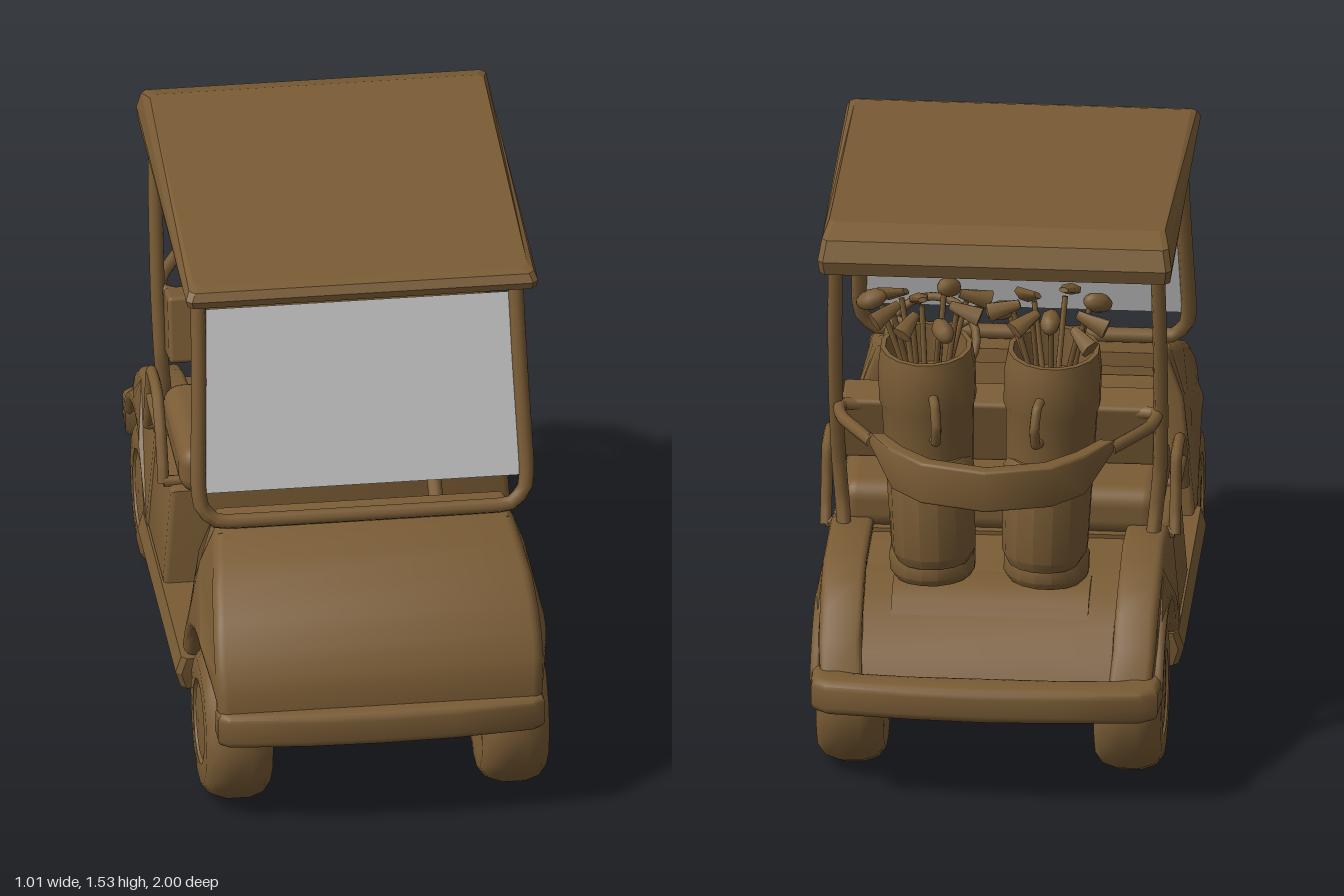
import * as THREE from 'three';
import { toCreasedNormals } from 'three/addons/utils/BufferGeometryUtils.js';
import { RoundedBoxGeometry } from 'three/addons/geometries/RoundedBoxGeometry.js';

const paint = new THREE.MeshStandardMaterial({ color: 0x7a5c35 });
const glass = new THREE.MeshStandardMaterial({ color: 0xcccccc, side: THREE.DoubleSide });
const V = (x, y, z) => new THREE.Vector3(x, y, z);
const clamp = THREE.MathUtils.clamp;

export function createModel() {
  const cart = new THREE.Group();
  cart.name = 'golfCart';

  const add = (name, geo, pos = [0, 0, 0], parent = cart, mat = paint) => {
    const m = new THREE.Mesh(geo, mat);
    m.name = name;
    m.position.set(...pos);
    parent.add(m);
    return m;
  };
  const tube = (name, pts, r, parent = cart, tension = 0.25) => {
    const curve = new THREE.CatmullRomCurve3(pts.map(p => V(...p)), false, 'catmullrom', tension);
    return add(name, new THREE.TubeGeometry(curve, pts.length * 6, r, 8), [0, 0, 0], parent);
  };
  const rod = (name, a, b, r, parent = cart) => {
    const d = V(...b).sub(V(...a));
    const m = add(name, new THREE.CylinderGeometry(r, r, d.length(), 8), V(...a).addScaledVector(d, 0.5).toArray(), parent);
    m.quaternion.setFromUnitVectors(V(0, 1, 0), d.normalize());
    return m;
  };
  const bend = (geo, rule) => {
    const p = geo.attributes.position;
    for (let i = 0; i < p.count; i++) {
      const v = rule(V(p.getX(i), p.getY(i), p.getZ(i)));
      p.setXYZ(i, v.x, v.y, v.z);
    }
    return toCreasedNormals(geo, 0.65);
  };
  const extrude = (pts, depth, bevel) => new THREE.ExtrudeGeometry(
    new THREE.Shape(pts.map(p => new THREE.Vector2(...p))),
    { depth: depth - 2 * bevel, bevelEnabled: bevel > 0, bevelSize: bevel, bevelThickness: bevel, bevelOffset: -bevel, bevelSegments: 3 });
  // Side profile of (z, y) points spread across x, centred on cx
  const slab = (pts, width, cx, bevel, rule = v => v) => {
    const g = extrude(pts, width, bevel).translate(0, 0, bevel - width / 2);
    return bend(g.rotateY(-Math.PI / 2).translate(cx, 0, 0), rule);
  };
  // Plan band from mirrored (x, z) points, between two heights
  const band = (outer, inner, y0, y1, bevel, rule = v => v) => {
    const both = h => [...h, ...h.slice(0, -1).reverse().map(([x, z]) => [-x, z])];
    const g = extrude([...both(outer), ...both(inner).reverse()], y1 - y0, bevel);
    return bend(g.rotateX(Math.PI / 2).translate(0, y1 - bevel, 0), rule);
  };
  // Stacked chamfered rectangles: [halfWidth, zFront, zBack, yFront, yBack]
  const stack = (rings, c) => {
    const pos = [], idx = [], n = 8;
    for (const [h, f, b, yf, yb] of rings) {
      const ring = [[h, f - c], [h, b + c], [h - c, b], [c - h, b], [-h, b + c], [-h, f - c], [c - h, f], [h - c, f]];
      for (const [x, z] of ring) pos.push(x, yf + (yb - yf) * (f - z) / (f - b), z);
    }
    for (let i = 0; i < rings.length - 1; i++) for (let j = 0; j < n; j++) {
      const a = i * n + j, b = i * n + (j + 1) % n;
      idx.push(a, b, a + n, b, b + n, a + n);
    }
    const top = (rings.length - 1) * n;
    for (let j = 1; j < n - 1; j++) idx.push(0, j + 1, j, top, top + j, top + j + 1);
    const g = new THREE.BufferGeometry();
    g.setAttribute('position', new THREE.Float32BufferAttribute(pos, 3));
    g.setIndex(idx);
    return toCreasedNormals(g, 0.15);
  };
  // Wheel arch points by angle
  const arch = (cz, a0, a1) => Array.from({ length: 11 }, (_, i) => {
    const a = a0 + (a1 - a0) * i / 10;
    return [cz + 0.25 * Math.cos(a), 0.22 + 0.25 * Math.sin(a)];
  });
  const FZ = 0.7, RZ = -0.62;

  // Front cowl, open at the back with a lip and cheeks around the dash
  const cowlTaper = v => {
    v.x *= (1 - 0.17 * clamp((v.y - 0.45) / 0.295, 0, 1) ** 1.5) * (1 - 0.09 * clamp((v.z - 0.72) / 0.23, 0, 1) ** 1.5);
    return v;
  };
  add('cowl', slab([[0.95, 0.35], [0.945, 0.42], [0.925, 0.475], [0.89, 0.53], [0.84, 0.592], [0.76, 0.655], [0.67, 0.698], [0.56, 0.73], [0.52, 0.735],
    [0.5, 0.62], [0.41, 0.29], ...arch(FZ, Math.PI - 0.3, 0.7), [0.89, 0.35]], 0.965, 0, 0.024, cowlTaper));
  add('cowlLip', slab([[0.57, 0.727], [0.46, 0.745], [0.455, 0.705], [0.56, 0.68]], 0.95, 0, 0.01, cowlTaper));
  for (const s of [-1, 1]) add('cowlCheek', slab([[0.57, 0.725], [0.46, 0.745], [0.45, 0.62], [0.4, 0.29], [0.46, 0.3], [0.52, 0.55]], 0.06, s * 0.447, 0.012, cowlTaper));
  add('gloveBox', slab([[0.5, 0.66], [0.37, 0.665], [0.32, 0.37], [0.43, 0.32]], 0.3, -0.22, 0.012));
  for (const x of [0.14, 0.27]) add('pedal', new RoundedBoxGeometry(0.07, 0.09, 0.02, 2, 0.008), [x, 0.35, 0.38]).rotation.x = -0.5;

  // Floor pan with recessed underside
  add('floorPan', stack([[0.44, 0.43, -0.35, 0.265, 0.265], [0.47, 0.45, -0.37, 0.19, 0.19], [0.49, 0.46, -0.38, 0.19, 0.19],
    [0.505, 0.47, -0.385, 0.24, 0.24], [0.49, 0.475, -0.39, 0.29, 0.29]], 0.015));

  // Seat pod, sunken bag deck and raised fenders
  const rearTaper = v => {
    v.x *= (1 - 0.08 * clamp((-0.65 - v.z) / 0.25, 0, 1)) * (1 - 0.06 * clamp((v.y - 0.45) / 0.15, 0, 1));
    return v;
  };
  const rearArch = arch(RZ, Math.PI - 0.56, 0.285);
  add('seatPod', slab([[0.04, 0.28], [0.035, 0.57], [-0.38, 0.575], [-0.37, 0.28]], 0.97, 0, 0.015, rearTaper));
  add('bagDeck', slab([[-0.3, 0.28], [-0.3, 0.565], [-0.5, 0.562], [-0.61, 0.55], [-0.7, 0.522], [-0.78, 0.475], [-0.85, 0.41], [-0.9, 0.33],
    ...rearArch, [-0.37, 0.28]], 0.78, 0, 0, rearTaper));
  for (const s of [-1, 1]) add('rearFender', slab([[-0.28, 0.28], [-0.28, 0.575], [-0.36, 0.6], [-0.5, 0.608], [-0.61, 0.595], [-0.7, 0.563],
    [-0.78, 0.512], [-0.85, 0.44], [-0.91, 0.33], ...rearArch, [-0.37, 0.28]], 0.125, s * 0.4275, 0.02, rearTaper));
  add('seatFrontRail', new RoundedBoxGeometry(0.6, 0.035, 0.05, 2, 0.012), [0, 0.365, 0.065]);

  // Bumpers
  add('frontBumper', band([[0.45, 0.89], [0.45, 0.95], [0.42, 0.972], [0.2, 0.992], [0, 0.997]], [[0.38, 0.89], [0.37, 0.9], [0.3, 0.91], [0.2, 0.918], [0, 0.92]], 0.27, 0.37, 0.022));
  add('rearBumper', band([[0.48, -0.83], [0.475, -0.94], [0.43, -0.972], [0.2, -0.992], [0, -1]], [[0.4, -0.83], [0.4, -0.86], [0.36, -0.88], [0.2, -0.89], [0, -0.89]], 0.27, 0.37, 0.025));

  // Wheels, rear arch lips and the rounded belly between each pair
  const tyre = [[0, -0.08], [0.13, -0.09], [0.175, -0.092], [0.205, -0.07], [0.219, -0.03], [0.219, 0.03], [0.205, 0.07], [0.175, 0.092], [0.12, 0.092], [0.115, 0.082]];
  const hub = [[0.115, 0.082], [0.1, 0.088], [0, 0.092]];
  const lathe = (pts, n) => new THREE.LatheGeometry(pts.map(p => new THREE.Vector2(...p)), n);
  for (const [end, z] of [['front', FZ], ['rear', RZ]]) {
    for (const s of [-1, 1]) {
      const wheel = new THREE.Group();
      wheel.name = end + 'Wheel';
      wheel.position.set(s * 0.38, 0.218, z);
      wheel.rotation.z = -s * Math.PI / 2;
      cart.add(wheel);
      add('tyre', toCreasedNormals(lathe(tyre, 14), 0.9), [0, 0, 0], wheel);
      add('hub', lathe(hub, 14), [0, 0, 0], wheel);
      if (end === 'rear') add('rearArchLip', new THREE.TorusGeometry(0.262, 0.018, 6, 16, Math.PI - 0.85).rotateZ(0.425).rotateY(-Math.PI / 2), [s * 0.468, 0.22, z]);
    }
    add(end + 'Belly', new THREE.CylinderGeometry(0.18, 0.18, 0.54, 20).rotateZ(Math.PI / 2), [0, 0.375, z]);
  }

  // Seat, backrest and armrests
  add('seatCushion', new RoundedBoxGeometry(0.88, 0.14, 0.43, 3, 0.05), [0, 0.63, -0.155]);
  add('backrest', new RoundedBoxGeometry(0.86, 0.19, 0.11, 2, 0.012), [0, 0.884, -0.338]).rotation.x = -0.21;
  for (const s of [-1, 1]) {
    const x = s * 0.478;
    const arm = [[0.57, -0.02], [0.61, -0.035], [0.69, -0.08], [0.765, -0.145], [0.782, -0.2], [0.775, -0.285], [0.7, -0.305], [0.62, -0.33], [0.57, -0.355]];
    tube('armrest', arm.map(([y, z]) => [x, y, z]), 0.016);
    rod('armrestBrace', [x, 0.68, -0.08], [x, 0.69, -0.3], 0.014);
    for (const z of [-0.02, -0.35]) rod('armrestFoot', [s * 0.4, 0.575, z], [x, 0.575, z], 0.016);
  }

  // Steering
  const axis = V(0, 0.26, -0.34).normalize();
  rod('steeringColumn', [0.22, 0.604, 0.52], [0.22, 0.915, 0.11], 0.02);
  rod('steeringBoss', [0.22, 0.88, 0.16], [0.22, 0.93, 0.095], 0.035);
  const steering = new THREE.Group();
  steering.name = 'steeringWheel';
  steering.position.set(0.22, 0.93, 0.095);
  steering.quaternion.setFromUnitVectors(V(0, 0, 1), axis);
  cart.add(steering);
  add('rim', new THREE.TorusGeometry(0.122, 0.012, 8, 24), [0, 0, 0], steering);
  for (let i = 0; i < 3; i++) {
    const a = Math.PI / 2 + i * Math.PI * 2 / 3;
    rod('spoke', [0, 0, 0], [0.12 * Math.cos(a), 0.12 * Math.sin(a), 0], 0.01, steering);
  }

  // Roof shell, its ceiling following the sloping top
  add('roof', stack([[0.455, 0.5, -0.49, 1.448, 1.515], [0.475, 0.525, -0.555, 1.41, 1.41], [0.48, 0.535, -0.565, 1.41, 1.41],
    [0.485, 0.54, -0.575, 1.43, 1.45], [0.475, 0.525, -0.55, 1.452, 1.505], [0.46, 0.5, -0.475, 1.46, 1.53]], 0.015));

  // Windscreen frame: one hoop up both sides and across the cowl
  const slope = y => 0.56 - (y - 0.745) * 0.244;
  const half = [[0.435, 1.44], [0.442, 1.15], [0.452, 0.86], [0.445, 0.8], [0.415, 0.765], [0.36, 0.755]];
  const hoop = [...half, ...half.slice().reverse().map(([x, y]) => [-x, y])];
  tube('windscreenFrame', hoop.map(([x, y]) => [x, y, slope(y)]), 0.021, cart, 0.2);
  const pane = new THREE.PlaneGeometry(0.87, 0.505).translate(0, 1.088, 0);
  add('windscreen', bend(pane, v => V(v.x * (1.015 - (v.y - 0.835) * 0.07), v.y, slope(v.y))), [0, 0, 0], cart, glass);

  // Rear posts and bag rack
  for (const s of [-1, 1]) {
    tube('rearPost', [[0.42, 0.56, -0.42], [0.43, 0.66, -0.385], [0.44, 0.78, -0.38], [0.445, 0.95, -0.41], [0.445, 1.2, -0.455], [0.44, 1.48, -0.495]].map(([x, y, z]) => [s * x, y, z]), 0.02);
    tube('rackArm', [[0.3, 0.94, -0.37], [0.43, 0.955, -0.41], [0.42, 0.955, -0.5], [0.325, 0.965, -0.68]].map(([x, y, z]) => [s * x, y, z]), 0.018);
  }
  add('rackStrap', band([[0.335, -0.67], [0.265, -0.785], [0.18, -0.87], [0, -0.92]], [[0.295, -0.67], [0.235, -0.755], [0.155, -0.83], [0, -0.875]],
    0.87, 0.99, 0.008, v => V(v.x, 0.99 - (0.99 - v.y) * clamp(0.3 + (-0.67 - v.z) * 6, 0.3, 1), v.z)));

  // Golf bags with clubs
  let seed = 7;
  const rnd = () => (seed = (seed * 16807) % 2147483647) / 2147483647;
  const bagWall = [[0, 0], [0.105, 0], [0.118, 0.02], [0.118, 0.07], [0.112, 0.08], [0.12, 0.3], [0.127, 0.5], [0.134, 0.52], [0.134, 0.62], [0.126, 0.675], [0.112, 0.675], [0.105, 0.58], [0, 0.58]];
  const pouch = [[0, 0.06], [0.1, 0.06], [0.115, 0.09], [0.118, 0.34], [0.1, 0.37], [0, 0.38]];
  for (const s of [-1, 1]) {
    const bag = new THREE.Group();
    bag.name = 'golfBag';
    bag.position.set(s * 0.155 + 0.01, 0.55, -0.607);
    bag.rotation.set(0.03, s * 0.2, -s * 0.03);
    cart.add(bag);
    // The collar slopes down towards the back
    add('bagBody', bend(lathe(bagWall, 16), v => V(v.x, v.y + (v.y > 0.65 ? v.z * 0.12 : 0), v.z)), [0, 0, 0], bag);
    add('lowerPocket', toCreasedNormals(lathe(pouch, 14), 0.6), [0, 0, -0.035], bag);
    tube('carryHandle', [[0, 0.44, -0.12], [0, 0.45, -0.16], [0, 0.5, -0.178], [0, 0.555, -0.16], [0, 0.565, -0.125]], 0.014, bag);
    for (let i = 0; i < 9; i++) {
      const a = i * Math.PI / 4.5 + rnd() * 0.5, r = 0.07 + rnd() * 0.06, h = 0.74 + rnd() * 0.06;
      const c = Math.cos(a), d = Math.sin(a);
      rod('clubShaft', [c * 0.05, 0.56, d * 0.05], [c * r, h, d * r - 0.01], 0.008, bag);
      const head = add('clubHead', i % 3 ? new THREE.CylinderGeometry(0.014, 0.03, 0.09, 6).scale(1, 1, 0.55) : new THREE.SphereGeometry(0.032, 8, 6).scale(0.9, 1.4, 0.9),
        [c * (r + 0.025), h + 0.01, d * (r + 0.025) - 0.01], bag);
      head.quaternion.setFromUnitVectors(V(0, 1, 0), V(-c, 0.35, -d).normalize());
    }
  }
  return cart;
}
